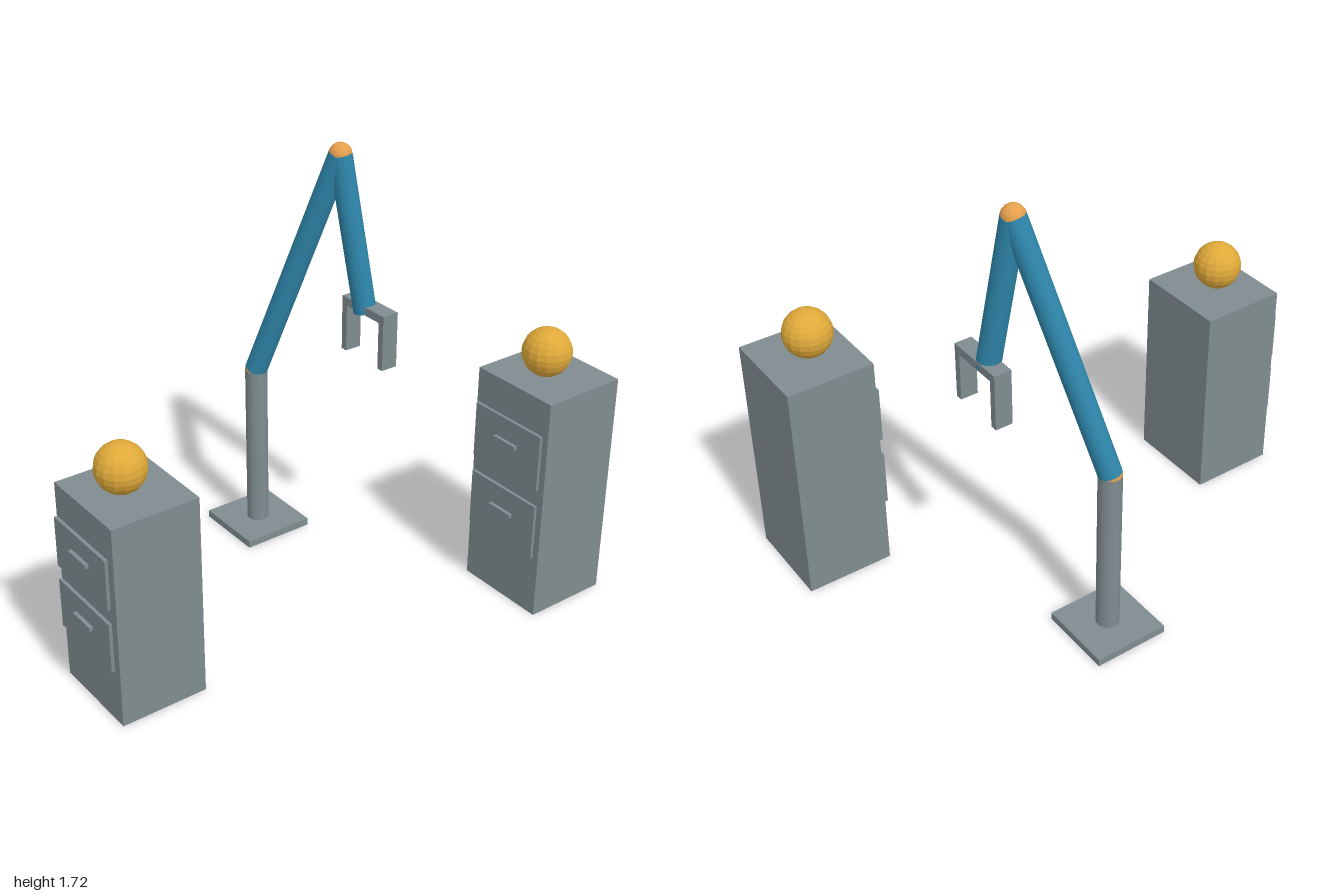
import * as THREE from 'three';

const mat = (name, color) => {
  const m = new THREE.MeshStandardMaterial({ color, flatShading: true });
  m.name = name;
  return m;
};

export function createModel() {
  const grey = mat('steelGrey', 0x7f8c90);
  const blue = mat('armBlue', 0x2e86ab);
  const orange = mat('jointOrange', 0xe5a04d);
  const gold = mat('ballGold', 0xe0aa3a);

  const model = new THREE.Group();
  model.name = 'robotArmAndCabinets';

  const add = (parent, name, geometry, material, x, y, z) => {
    const mesh = new THREE.Mesh(geometry, material);
    mesh.name = name;
    mesh.position.set(x, y, z);
    parent.add(mesh);
    return mesh;
  };
  const box = (parent, name, w, h, d, x, y, z) =>
    add(parent, name, new THREE.BoxGeometry(w, h, d), grey, x, y, z);

  // Cylinder running between two points
  const rod = (parent, name, a, b, r, material) => {
    const dir = b.clone().sub(a);
    const mid = a.clone().add(b).multiplyScalar(0.5);
    const mesh = add(parent, name, new THREE.CylinderGeometry(r, r, dir.length(), 24), material, mid.x, mid.y, mid.z);
    mesh.quaternion.setFromUnitVectors(new THREE.Vector3(0, 1, 0), dir.normalize());
  };

  // Cabinet with two floating drawer fronts, handles and a ball on top
  const cabinet = (name, x, back, height, drawerHeight, drawerYs) => {
    const g = new THREE.Group();
    g.name = name;
    g.position.set(x, 0, back);
    const depth = 0.347;
    box(g, 'cabinetBody', 0.38, height, depth, 0, height / 2, depth / 2);
    for (const y of drawerYs) {
      box(g, 'drawerFront', 0.342, drawerHeight, 0.013, 0, y, 0.362);
      box(g, 'drawerHandle', 0.114, 0.016, 0.015, 0, y + 0.019, 0.3755);
    }
    add(g, 'ball', new THREE.SphereGeometry(0.095, 16, 12), gold, 0, height + 0.095, 0.19);
    model.add(g);
  };
  cabinet('frontCabinet', 0.101, 0.617, 0.815, 0.2, [0.592, 0.333]);
  cabinet('backCabinet', 0.476, -1, 0.922, 0.228, [0.672, 0.374]);

  // Arm: base plate, column, two links and ball joints
  const arm = new THREE.Group();
  arm.name = 'robotArm';
  model.add(arm);
  const r = 0.045;
  const shoulder = new THREE.Vector3(-0.521, 0.725, -0.19);
  const elbow = new THREE.Vector3(-0.225, 1.677, -0.374);
  const wrist = new THREE.Vector3(-0.133, 1.06, -0.432);
  box(arm, 'basePlate', 0.3, 0.03, 0.3, shoulder.x, 0.015, shoulder.z);
  rod(arm, 'column', new THREE.Vector3(shoulder.x, 0.03, shoulder.z), shoulder, r, grey);
  rod(arm, 'upperArm', shoulder, elbow, r, blue);
  rod(arm, 'forearm', elbow, wrist, r, blue);
  for (const [name, p] of [['shoulderJoint', shoulder], ['elbowJoint', elbow]])
    add(arm, name, new THREE.SphereGeometry(r, 16, 12), orange, p.x, p.y, p.z);

  // Gripper: crossbar with two fingers
  const gripper = new THREE.Group();
  gripper.name = 'gripper';
  gripper.position.set(-0.114, 0, -0.44);
  arm.add(gripper);
  box(gripper, 'gripperBar', 0.25, 0.034, 0.07, 0, 1.077, 0);
  for (const s of [-1, 1])
    box(gripper, 'gripperFinger', 0.028, 0.194, 0.07, s * 0.111, 0.964, 0);

  return model;
}
